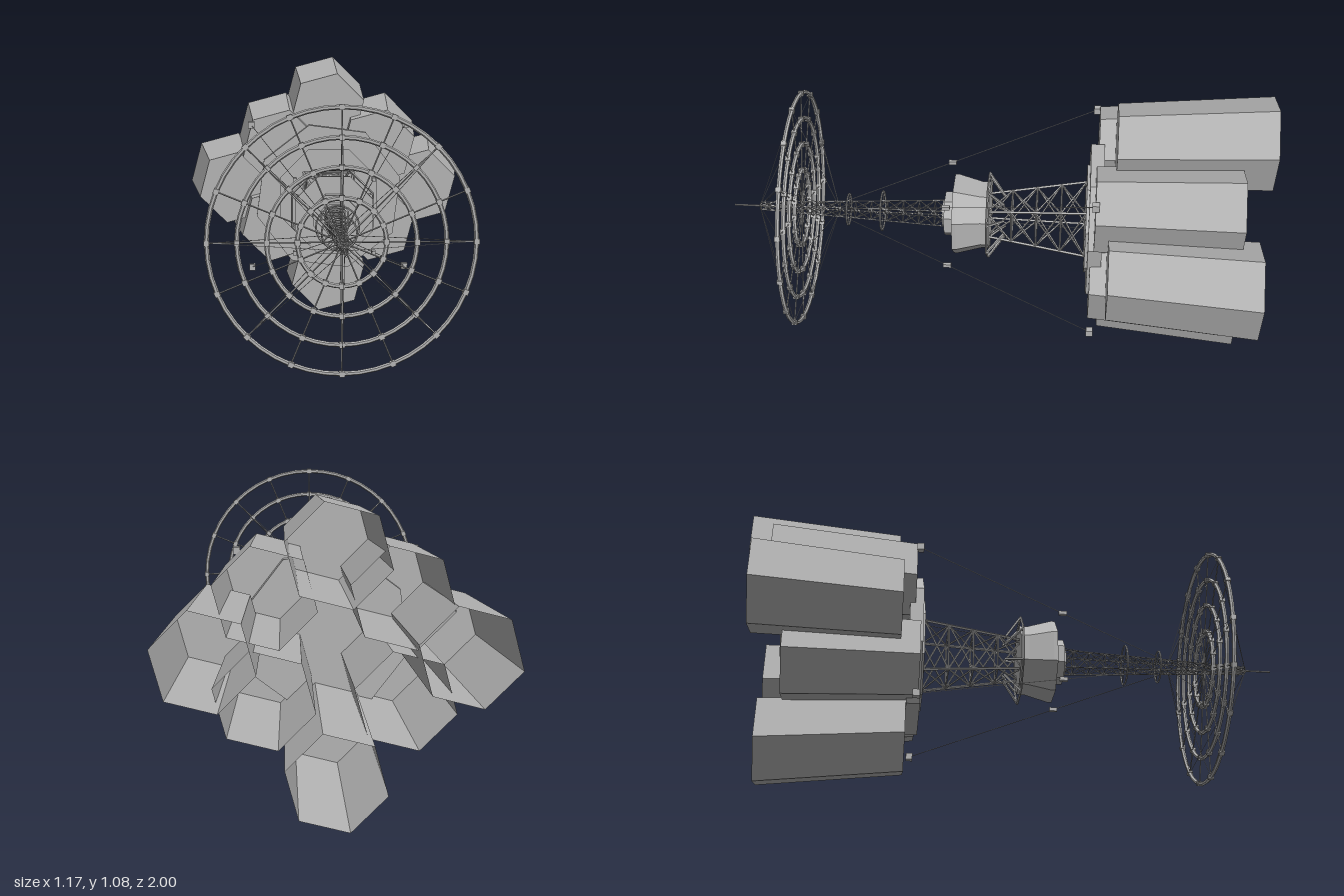
import * as THREE from 'three';

const AXIS_Y = 0.545;
const hull = new THREE.MeshStandardMaterial({ color: 0xb2b2b2, flatShading: true, side: THREE.DoubleSide });
hull.name = 'hull grey';
const V = (x, y, z) => new THREE.Vector3(x, y, z);
const polar = (r, a, z) => V(r * Math.cos(a), r * Math.sin(a), z);
const DEG = Math.PI / 180;

export function createModel() {
  const model = new THREE.Group();
  model.name = 'spacecraft';
  const ship = new THREE.Group();
  ship.name = 'ship';
  ship.position.y = AXIS_Y;
  model.add(ship);

  const group = (name) => {
    const g = new THREE.Group();
    g.name = name;
    ship.add(g);
    return g;
  };
  const add = (parent, name, geometry) => {
    const m = new THREE.Mesh(geometry, hull);
    m.name = name;
    parent.add(m);
    return m;
  };
  // thin rod between two points
  const rod = (parent, name, a, b, r, sides = 4) => {
    const d = b.clone().sub(a);
    const m = add(parent, name, new THREE.CylinderGeometry(r, r, d.length(), sides));
    m.position.copy(a).addScaledVector(d, 0.5);
    m.quaternion.setFromUnitVectors(V(0, 1, 0), d.normalize());
  };
  // prism along z, first corner at the given angle
  const prism = (parent, name, zBack, rBack, zFront, rFront, sides, angle, open = false) => {
    const g = new THREE.CylinderGeometry(rFront, rBack, zFront - zBack, sides, 1, open, angle * DEG + Math.PI / 2);
    g.rotateX(Math.PI / 2);
    g.translate(0, 0, (zFront + zBack) / 2);
    return add(parent, name, g);
  };
  // square lattice mast: four longerons, frames and crossed braces
  const truss = (name, z0, w0, z1, w1, bays, r) => {
    const g = group(name);
    const corner = (k, i) => {
      const t = i / bays, w = w0 + (w1 - w0) * t;
      return V((k === 0 || k === 3 ? 1 : -1) * w, (k < 2 ? 1 : -1) * w, z0 + (z1 - z0) * t);
    };
    for (let k = 0; k < 4; k++) {
      const n = (k + 1) % 4;
      rod(g, 'longeron', corner(k, 0), corner(k, bays), r * 1.6);
      for (let i = 0; i <= bays; i++) {
        rod(g, 'frameBar', corner(k, i), corner(n, i), r);
        if (i === bays) continue;
        rod(g, 'brace', corner(k, i), corner(n, i + 1), r);
        rod(g, 'brace', corner(n, i), corner(k, i + 1), r);
      }
    }
  };

  // hollow hexagonal pods, splayed outwards to the rear
  // [front x, front y, front z, back x, back y, back z]
  const pods = [
    [0, 0.343, -0.44, 0, 0.375, -1.0],
    [0, -0.33, -0.4, 0, -0.372, -0.93],
    [0.373, 0.033, -0.42, 0.42, 0.036, -0.95],
    [-0.373, 0.033, -0.43, -0.42, 0.04, -0.955],
    [0.2, 0.2, -0.37, 0.224, 0.222, -0.885],
    [-0.195, 0.2, -0.38, -0.21, 0.222, -0.905],
    [0.2, -0.115, -0.36, 0.228, -0.122, -0.84],
    [-0.2, -0.115, -0.36, -0.23, -0.13, -0.84],
  ];
  const podGroup = group('pods');
  for (const [fx, fy, fz, bx, by, bz] of pods) {
    const shell = prism(podGroup, 'podShell', bz, 0.172, fz, 0.154, 6, 15, true);
    const p = shell.geometry.attributes.position;
    for (let i = 0; i < p.count; i++) {
      const t = (p.getZ(i) - bz) / (fz - bz);
      p.setX(i, p.getX(i) + bx + (fx - bx) * t);
      p.setY(i, p.getY(i) + by + (fy - by) * t);
    }
    shell.geometry.computeVertexNormals();
    const cap = add(podGroup, 'podFrontCap', new THREE.CircleGeometry(0.154, 6, 15 * DEG));
    cap.position.set(fx, fy, fz);
  }

  // octagonal plates carrying the pods
  prism(ship, 'podPlate', -0.4, 0.3, -0.35, 0.3, 8, 15);
  prism(ship, 'trussPlate', -0.35, 0.21, -0.34, 0.21, 8, 22.5);

  // lattice masts and nose spike
  truss('rearTruss', -0.34, 0.1, 0.03, 0.058, 4, 0.0035);
  truss('frontMast', 0.17, 0.036, 0.9, 0.01, 12, 0.0018);
  rod(ship, 'noseSpike', V(0, 0, 0.85), V(0, 0, 1), 0.0035, 6);

  // octagonal cabin
  const cabin = group('cabin');
  prism(cabin, 'cabinRear', 0.02, 0.13, 0.05, 0.13, 8, 22.5);
  prism(cabin, 'cabinBody', 0.05, 0.13, 0.14, 0.155, 8, 22.5);
  prism(cabin, 'cabinRim', 0.14, 0.155, 0.155, 0.155, 8, 22.5);
  prism(cabin, 'cabinNose', 0.155, 0.085, 0.19, 0.085, 8, 22.5);
  prism(cabin, 'mastSocket', 0.19, 0.055, 0.2, 0.05, 8, 22.5);
  for (let i = 0; i < 8; i++) {
    const a = (22.5 + 45 * i) * DEG;
    rod(cabin, 'rearStrut', polar(0.165, a, 0.025), polar(0.08, a, -0.035), 0.005);
    rod(cabin, 'rearRimBar', polar(0.165, a, 0.025), polar(0.165, a + 45 * DEG, 0.025), 0.004);
  }

  // spoked wheel with beads where spokes cross the rings
  const wheel = group('wheel');
  const Z = 0.74;
  const radii = [0.145, 0.245, 0.342, 0.44];
  for (const r of radii) {
    add(wheel, 'wheelRing', new THREE.TorusGeometry(r, 0.008, 6, 48)).position.z = Z;
  }
  for (let i = 0; i < 16; i++) {
    const a = i * 22.5 * DEG;
    rod(wheel, 'spoke', polar(0.012, a, Z), polar(0.44, a, Z), 0.0025);
    for (const r of radii) {
      const bead = add(wheel, 'bead', new THREE.BoxGeometry(0.018, 0.018, 0.02));
      bead.position.copy(polar(r, a, Z));
      bead.rotation.z = a;
    }
    if (i % 2) continue;
    rod(wheel, 'frontStay', polar(0.44, a, Z), polar(0.008, a, 0.9), 0.0012, 3);
    rod(wheel, 'rearStay', polar(0.44, a, Z), polar(0.018, a, 0.6), 0.0012, 3);
  }

  // small hoops around the front mast
  for (const [z, r] of [[0.56, 0.06], [0.43, 0.075]]) {
    const hoop = group('mastHoop');
    add(hoop, 'hoop', new THREE.TorusGeometry(r, 0.0035, 5, 24)).position.z = z;
    for (let i = 0; i < 4; i++) {
      const a = (45 + 90 * i) * DEG;
      rod(hoop, 'hoopSpoke', polar(0.02, a, z), polar(r, a, z), 0.002);
    }
  }

  // long guy cables with end blocks
  const rigging = group('rigging');
  for (const sx of [1, -1]) {
    for (const sy of [1, -1]) {
      const end = V(sx * 0.31, sy * 0.29, -0.37), start = V(sx * 0.014, sy * 0.014, 0.6);
      rod(rigging, 'cable', start, end, 0.0015, 3);
      add(rigging, 'cableBlock', new THREE.BoxGeometry(0.025, 0.025, 0.025)).position.copy(end);
      const guide = add(rigging, 'cableGuide', new THREE.BoxGeometry(0.014, 0.014, 0.03));
      guide.position.copy(start).lerp(end, 0.44);
    }
  }
  return model;
}
